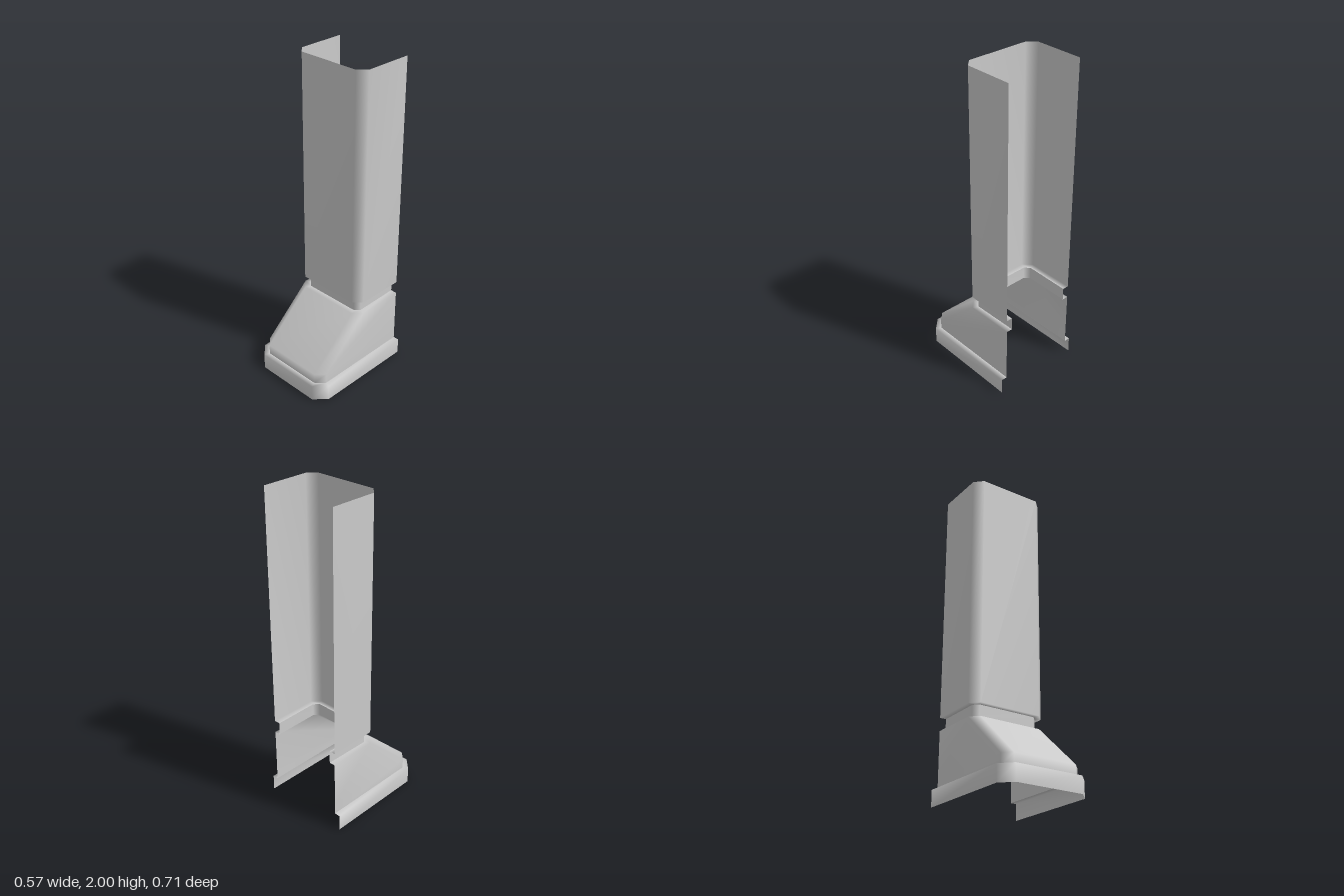
import * as THREE from 'three';

const BACK = -0.355;
const material = new THREE.MeshStandardMaterial({ color: 0xcccccc, side: THREE.DoubleSide });

// Open U-shaped cross-section: half width w, front plane at z = f, chamfered corners.
function ring(y, w, f, chamfer, backW = w) {
  const half = [[backW, BACK], [w, f - chamfer], [w - chamfer, f]];
  const left = half.map(([x, z]) => [-x, y, z]);
  const right = half.map(([x, z]) => [x, y, z]).reverse();
  return [...left, ...right];
}

// Skin a stack of cross-sections, bottom to top, leaving the back and ends open.
function loft(name, rings) {
  const n = rings[0].length;
  const index = [];
  for (let j = 0; j < rings.length - 1; j++) {
    for (let i = 0; i < n - 1; i++) {
      const a = j * n + i, b = a + 1, c = b + n, d = a + n;
      index.push(a, b, c, a, c, d);
    }
  }
  const geometry = new THREE.BufferGeometry();
  geometry.setAttribute('position', new THREE.Float32BufferAttribute(rings.flat(2), 3));
  geometry.setIndex(index);
  geometry.computeVertexNormals();
  const mesh = new THREE.Mesh(geometry, material);
  mesh.name = name;
  return mesh;
}

export function createModel() {
  const group = new THREE.Group();
  group.name = 'channelColumn';

  const hoodBottom = ring(0.1, 0.25, 0.32, 0.05);
  const hoodTop = ring(0.45, 0.25, 0, 0.05);
  const neckBottom = ring(0.45, 0.215, -0.035, 0.03, 0.211);
  const neckTop = ring(0.53, 0.215, -0.035, 0.03, 0.211);
  const shaftBottom = ring(0.53, 0.25, 0, 0.05);

  group.add(
    // Wide plinth with the ledge on its upper edge
    loft('plinth', [ring(0, 0.284, 0.355, 0.071, 0.287), ring(0.1, 0.284, 0.355, 0.071, 0.287), hoodBottom]),
    // Sloping foot, closing in to the neck
    loft('slopedFoot', [hoodBottom, ring(0.165, 0.25, 0.32, 0.05), hoodTop, neckBottom]),
    // Recessed band
    loft('neck', [neckBottom, neckTop]),
    // Tall shaft with its underside ledge
    loft('shaft', [neckTop, shaftBottom, ring(2, 0.25, 0, 0.05)])
  );
  return group;
}
